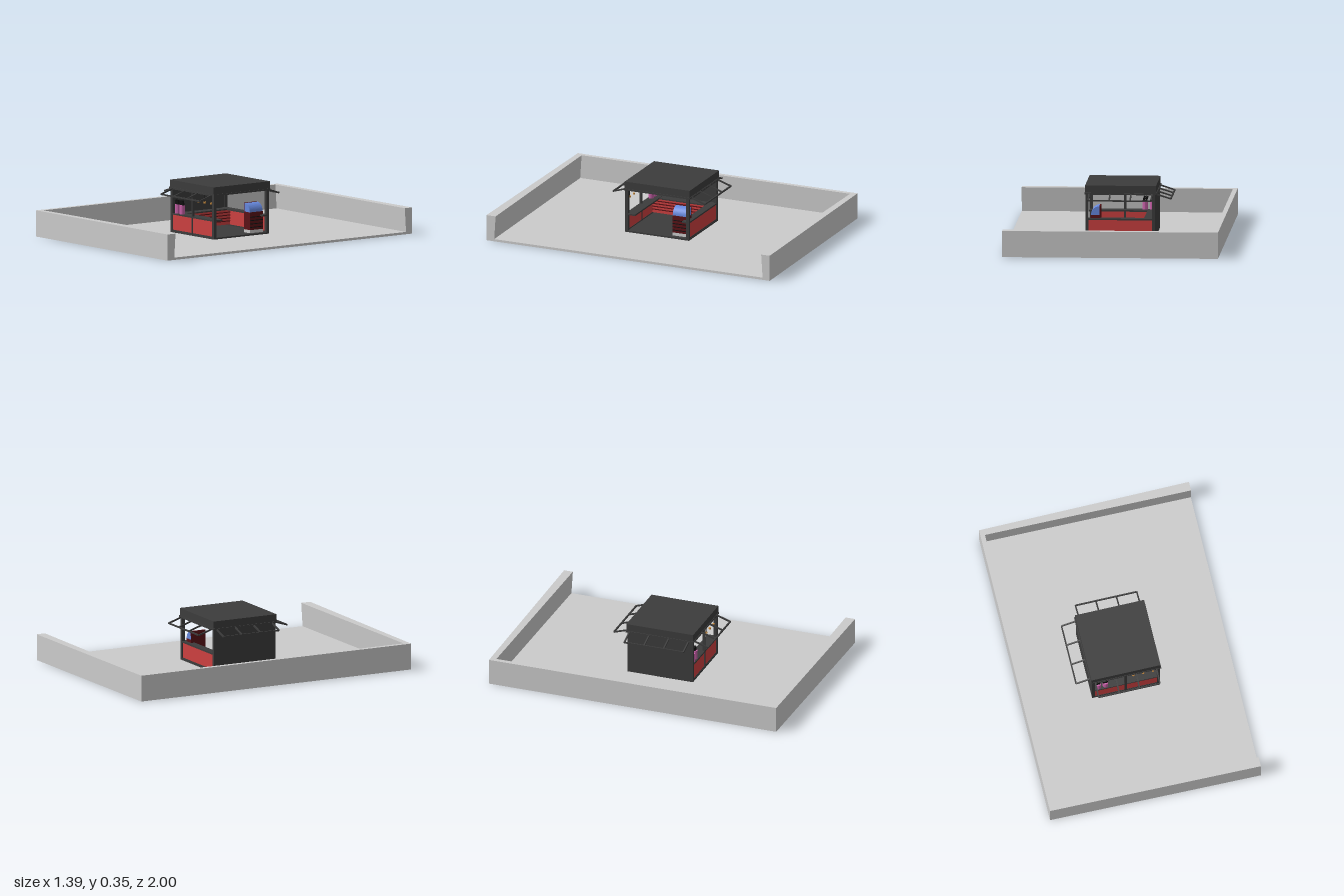
import * as THREE from 'three';

const mat = (color, double = false) => new THREE.MeshStandardMaterial({
  color, flatShading: true, side: double ? THREE.DoubleSide : THREE.FrontSide });
const grey = mat(0xcccccc), dark = mat(0x3c3c3c), red = mat(0xcc4040), maroon = mat(0x5a1216),
  blue = mat(0x6688dd), pink = mat(0xc860a8), black = mat(0x111111), amber = mat(0xd09040);

// Kiosk bounds
const X0 = -0.24, X1 = 0.21, Z0 = -0.21, Z1 = 0.24, BASE = 0.015, EAVE = 0.3;

function add(parent, name, geometry, material) {
  const mesh = new THREE.Mesh(geometry, material);
  mesh.name = name;
  parent.add(mesh);
  return mesh;
}

// Box given by its minimum and maximum on each axis
function box(parent, name, material, x0, x1, y0, y1, z0, z1) {
  const mesh = add(parent, name, new THREE.BoxGeometry(x1 - x0, y1 - y0, z1 - z0), material);
  mesh.position.set((x0 + x1) / 2, (y0 + y1) / 2, (z0 + z1) / 2);
  return mesh;
}

// Plan outline [x, z] raised from y0 to y1
function slab(parent, name, points, y0, y1) {
  const shape = new THREE.Shape(points.map(([x, z]) => new THREE.Vector2(x, -z)));
  const geometry = new THREE.ExtrudeGeometry(shape, { depth: y1 - y0, bevelEnabled: false });
  geometry.rotateX(-Math.PI / 2).translate(0, y0, 0);
  return add(parent, name, geometry, grey);
}

// Straight bar between two points
function bar(parent, name, a, b, size = 0.009) {
  const from = new THREE.Vector3(...a), to = new THREE.Vector3(...b);
  const mesh = add(parent, name, new THREE.BoxGeometry(size, size, from.distanceTo(to)), dark);
  mesh.position.copy(from).lerp(to, 0.5);
  mesh.lookAt(to);
  return mesh;
}

// Open awning frame of three bays, hinged on local z = 0 and sloping out along +z
function awning(length) {
  const group = new THREE.Group();
  group.name = 'awningFrame';
  const h = length / 2, reach = 0.093, drop = -0.03;
  for (let i = 0; i <= 3; i++) {
    const x = -h + length * i / 3;
    bar(group, 'awningRib', [x, 0, 0], [x, drop, reach]);
  }
  bar(group, 'awningHingeBar', [-h, 0, 0], [h, 0, 0]);
  bar(group, 'awningOuterBar', [-h, drop, reach], [h, drop, reach]);
  return group;
}

// Floor and the three enclosing walls, open on +x
function buildYard() {
  const yard = new THREE.Group();
  yard.name = 'yard';
  const outer = [[-0.695, 0.985], [0.695, 1], [0.695, -1], [-0.695, -0.99]];
  slab(yard, 'floor', outer, 0, BASE);
  const walls = slab(yard, 'boundaryWalls', [...outer.slice(0, 2), [0.695, 0.935], [-0.665, 0.945],
    [-0.665, -0.95], [0.695, -0.94], ...outer.slice(2)], BASE, 0.17);
  // Inner faces lean slightly, so the end walls are thinner at the foot
  const p = walls.geometry.attributes.position;
  for (let i = 0; i < p.count; i++) {
    const z = p.getZ(i);
    if (p.getY(i) < 0.1 && Math.abs(z) < 0.96) p.setZ(i, z + Math.sign(z) * 0.01);
  }
  walls.geometry.computeVertexNormals();
  return yard;
}

// Posts, solid side, panels, counters and roof
function buildKiosk() {
  const kiosk = new THREE.Group();
  kiosk.name = 'kiosk';
  box(kiosk, 'kioskFloor', dark, X0, X1, BASE, 0.025, Z0, Z1);
  for (const x of [X0, X1 - 0.02])
    for (const z of [Z0, Z1 - 0.02])
      box(kiosk, 'cornerPost', dark, x, x + 0.02, BASE, EAVE, z, z + 0.02);
  box(kiosk, 'frontMiddlePost', dark, -0.025, -0.011, BASE, EAVE, Z1 - 0.016, Z1);
  box(kiosk, 'sideWall', dark, X0, X0 + 0.012, BASE, EAVE, Z0, Z1);

  // Red panels with dark rails and worktops
  for (const [z0, z1, t0, t1] of [[Z1 - 0.014, Z1 - 0.004, Z1 - 0.07, Z1],
    [Z0 + 0.004, Z0 + 0.014, Z0, Z0 + 0.05]]) {
    box(kiosk, 'counterPanel', red, X0 + 0.02, X1 - 0.02, 0.03, 0.13, z0, z1);
    box(kiosk, 'bottomRail', dark, X0, X1, BASE, 0.032, z0 - 0.002, z1 + 0.002);
    box(kiosk, 'worktop', dark, X0, X1, 0.13, 0.14, t0, t1);
  }
  box(kiosk, 'sideCounter', red, X0 + 0.012, X0 + 0.07, 0.035, 0.13, Z0 + 0.02, Z1 - 0.02);
  for (let i = 0; i < 4; i++) {
    const y = 0.055 + i * 0.019;
    box(kiosk, 'sideCounterSlat', maroon, X0 + 0.07, X0 + 0.074, y, y + 0.006, Z0 + 0.02, Z1 - 0.02);
  }
  box(kiosk, 'sideWorktop', dark, X0 + 0.012, X0 + 0.075, 0.13, 0.138, Z0, Z1);

  // Roof
  box(kiosk, 'roofLip', dark, X0 - 0.01, X1 + 0.006, 0.297, 0.308, Z0 - 0.01, Z1 + 0.006);
  box(kiosk, 'roof', dark, X0 - 0.005, X1 + 0.002, 0.308, 0.355, Z0 - 0.006, Z1 + 0.003);

  // Awnings on the front, back and closed side
  const placements = [[0.405, -0.017, Z1 + 0.002, 0], [0.405, -0.017, Z0 - 0.008, Math.PI],
    [0.405, X0 - 0.006, 0.008, -Math.PI / 2]];
  for (const [length, x, z, turn] of placements) {
    const frame = awning(length);
    frame.position.set(x, EAVE, z);
    frame.rotation.y = turn;
    kiosk.add(frame);
  }
  return kiosk;
}

// Display cabinet with a quarter-round glass front facing +x
function buildCabinet() {
  const cabinet = new THREE.Group();
  cabinet.name = 'displayCabinet';
  const z0 = -0.185, z1 = -0.08, x = 0.115;
  box(cabinet, 'cabinetFoot', grey, x, 0.178, 0.025, 0.045, z0, z1);
  box(cabinet, 'cabinetBody', maroon, x, 0.178, 0.045, 0.16, z0, z1);
  for (let i = 0; i < 4; i++)
    box(cabinet, 'cabinetSlat', black, 0.178, 0.181, 0.06 + i * 0.022, 0.065 + i * 0.022, z0, z1);
  const quarter = (r) => {
    const s = new THREE.Shape();
    s.moveTo(0, 0).lineTo(r, 0);
    s.absarc(0, 0, r, 0, Math.PI / 2, false);
    return s.lineTo(0, 0);
  };
  const glass = add(cabinet, 'curvedGlass', new THREE.ExtrudeGeometry(quarter(0.055),
    { depth: z1 - z0, bevelEnabled: false, curveSegments: 8 }), blue);
  glass.position.set(x + 0.006, 0.16, z0);
  box(cabinet, 'cabinetBack', maroon, x, x + 0.007, 0.16, 0.217, z0, z1);
  return cabinet;
}

// Pink jar with dark spouts
function buildJar(x) {
  const jar = new THREE.Group();
  jar.name = 'drinkJar';
  add(jar, 'jarBody', new THREE.CylinderGeometry(0.018, 0.018, 0.058, 12), pink).position.y = 0.029;
  for (const side of [-1, 1]) {
    const top = add(jar, 'jarTop', new THREE.BoxGeometry(0.014, 0.032, 0.014), black);
    top.position.set(side * 0.008 - 0.003, 0.07, 0);
    top.rotation.z = 0.3;
  }
  jar.position.set(x, 0.14, Z1 - 0.022);
  return jar;
}

// Hanging lamp
function buildLamp(x) {
  const lamp = new THREE.Group();
  lamp.name = 'hangingLamp';
  add(lamp, 'lampShade', new THREE.CylinderGeometry(0.008, 0.008, 0.01, 10), amber).position.y = 0.243;
  add(lamp, 'lampCord', new THREE.CylinderGeometry(0.001, 0.001, 0.052, 6), black).position.y = 0.274;
  lamp.position.set(x, 0, Z1 - 0.012);
  return lamp;
}

export function createModel() {
  const model = new THREE.Group();
  model.name = 'kioskYard';
  model.add(buildYard(), buildKiosk(), buildCabinet());
  for (const x of [-0.195, -0.147]) model.add(buildJar(x));
  for (const x of [0.035, 0.1, 0.165]) model.add(buildLamp(x));
  return model;
}
